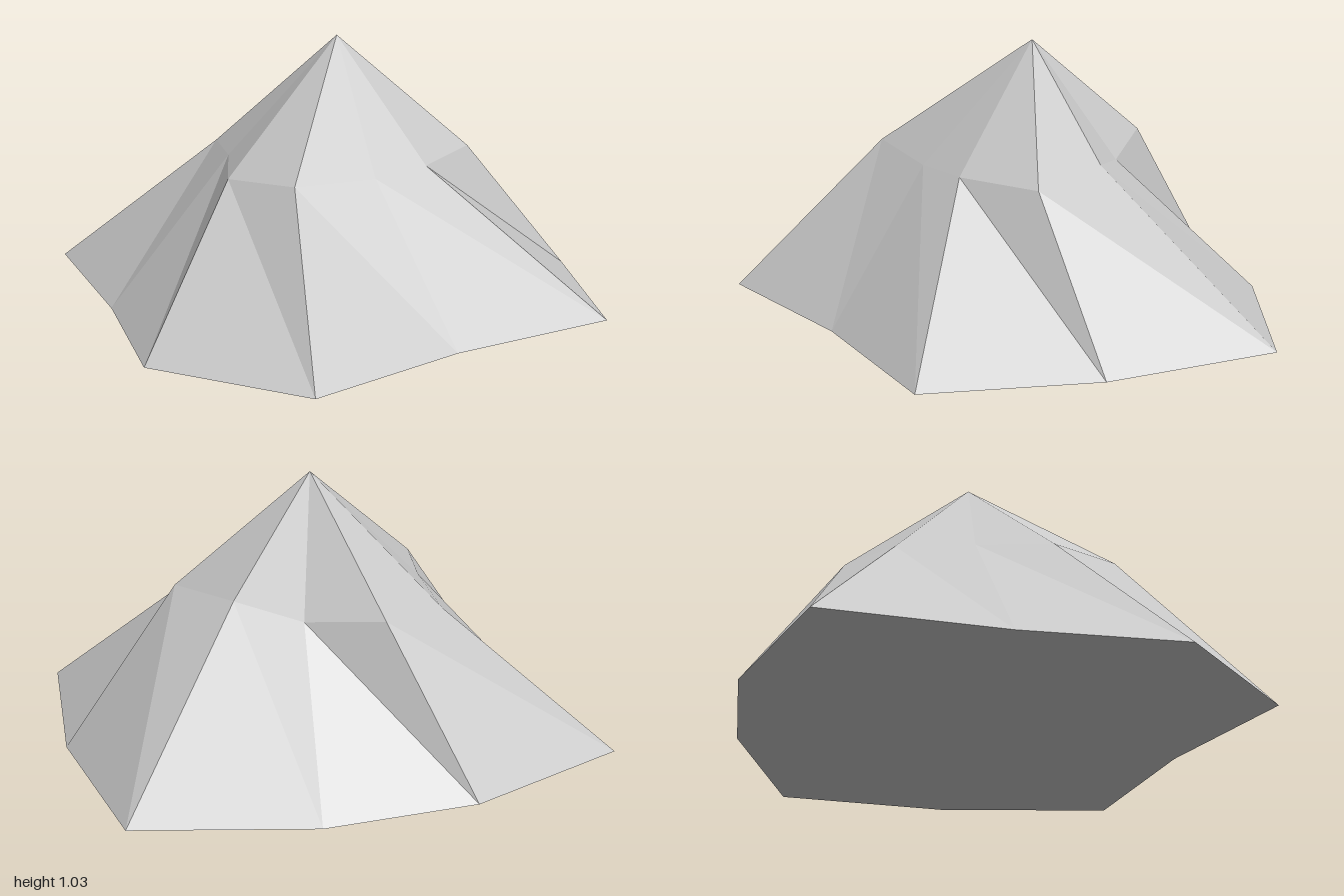
import * as THREE from 'three';

// Rings run clockwise seen from above; each point is [x, y, z].
const foot = [
  [-1, 0, -0.78], [-0.34, 0, -1], [0.26, 0, -0.99], [0.93, 0, -0.78], [1, 0, -0.08],
  [0.9, 0, 0.6], [0.23, 0, 0.75], [-0.39, 0, 1], [-0.91, 0, 0.55], [-0.92, 0, -0.08],
];
const shoulder = [
  [-0.4, 0.55, -0.45], [-0.11, 0.6, -0.62], [0.145, 0.555, -0.43], [0.375, 0.61, -0.28], [0.525, 0.58, 0.02],
  [0.27, 0.58, 0.25], [0.04, 0.57, 0.33], [-0.3, 0.59, 0.41], [-0.49, 0.56, 0.14], [-0.42, 0.57, -0.15],
];
const peak = [0.02, 1.035, -0.12];

function facetedMesh(name, triangles, material) {
  const geometry = new THREE.BufferGeometry();
  geometry.setAttribute('position', new THREE.Float32BufferAttribute(triangles.flat(2), 3));
  geometry.computeVertexNormals();
  const mesh = new THREE.Mesh(geometry, material);
  mesh.name = name;
  return mesh;
}

export function createModel() {
  const group = new THREE.Group();
  group.name = 'mountain';
  const rock = new THREE.MeshStandardMaterial({ color: 0xc8c8c8, flatShading: true });
  rock.name = 'rock grey';

  const summit = [], slopes = [], base = [];
  for (let i = 0; i < foot.length; i++) {
    const j = (i + 1) % foot.length;
    summit.push([peak, shoulder[j], shoulder[i]]);
    slopes.push([foot[i], shoulder[i], shoulder[j]], [foot[i], shoulder[j], foot[j]]);
    base.push([[0, 0, 0], foot[i], foot[j]]);
  }

  // Upper facets meeting at the peak, lower ridges and gullies, flat underside
  group.add(
    facetedMesh('summit', summit, rock),
    facetedMesh('slopes', slopes, rock),
    facetedMesh('base', base, rock),
  );
  return group;
}
